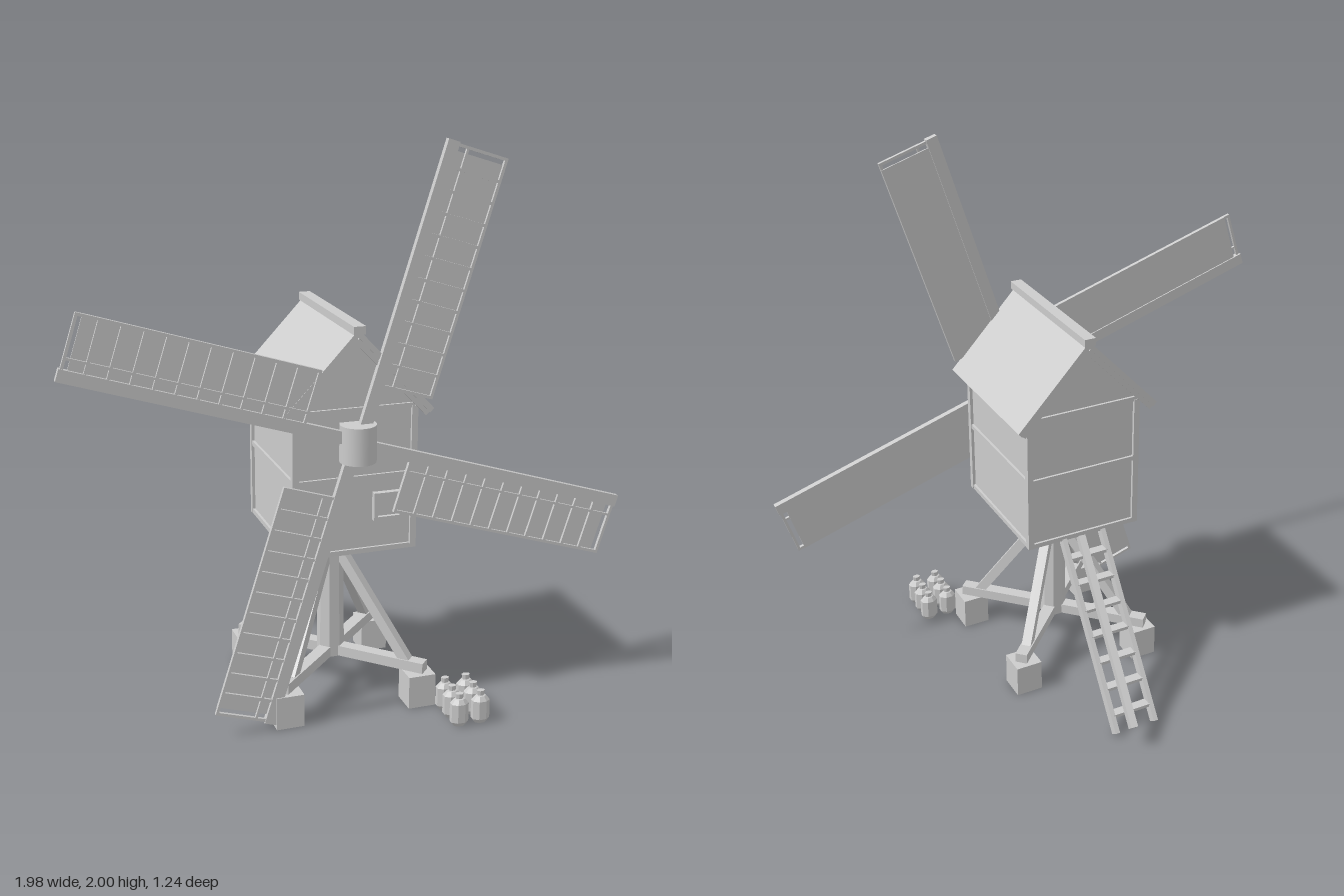
import * as THREE from 'three';

const paint = new THREE.MeshStandardMaterial({ color: 0xcccccc });
paint.name = 'plain grey';
const CZ = 0.14; // centre line of the trestle and cabin

function add(parent, name, geometry, x = 0, y = 0, z = 0) {
  const mesh = new THREE.Mesh(geometry, paint);
  mesh.name = name;
  mesh.position.set(x, y, z);
  parent.add(mesh);
  return mesh;
}

const box = (parent, name, w, h, d, x, y, z) =>
  add(parent, name, new THREE.BoxGeometry(w, h, d), x, y, z);

// Square timber running between two points
function beam(parent, name, a, b, w, h = w) {
  const p = new THREE.Vector3(...a), q = new THREE.Vector3(...b);
  const mesh = add(parent, name, new THREE.BoxGeometry(w, h, p.distanceTo(q)));
  mesh.position.copy(p).add(q).multiplyScalar(0.5);
  mesh.lookAt(q);
  return mesh;
}

function group(parent, name) {
  const g = new THREE.Group();
  g.name = name;
  parent.add(g);
  return g;
}

function faceted(geometry) {
  const g = geometry.toNonIndexed();
  g.computeVertexNormals();
  return g;
}

// Footing blocks, crossed beams, braces and central post
function buildTrestle(root) {
  const g = group(root, 'trestle');
  for (const sx of [-1, 1]) {
    for (const sz of [-1, 1]) {
      box(g, 'footing', 0.1, 0.12, 0.1, sx * 0.245, 0.06, CZ + sz * 0.245);
      beam(g, 'brace', [sx * 0.215, 0.15, CZ + sz * 0.215], [sx * 0.025, 0.53, CZ + sz * 0.025], 0.036);
    }
    beam(g, 'crossBeam', [-0.265, 0.14, CZ - sx * 0.265], [0.265, 0.14, CZ + sx * 0.265], 0.045, 0.038);
  }
  const post = new THREE.CylinderGeometry(0.046, 0.05, 0.49, 8);
  post.rotateY(Math.PI / 8);
  add(g, 'post', faceted(post), 0, 0.365, CZ);
}

// Gabled cabin with its timber framing
function buildCabin(root) {
  const g = group(root, 'cabin');
  const hw = 0.212, z0 = -0.108, z1 = 0.388;
  const outline = new THREE.Shape([
    [-hw, 0.605], [hw, 0.605], [hw, 1.115], [0, 1.365], [-hw, 1.115],
  ].map(([x, y]) => new THREE.Vector2(x, y)));
  add(g, 'walls', new THREE.ExtrudeGeometry(outline, { depth: z1 - z0, bevelEnabled: false }), 0, 0, z0);

  const t = 0.022, mid = (z0 + z1) / 2;
  for (const s of [-1, 1]) {
    for (const z of [z0, z1]) {
      box(g, 'cornerPost', t, 0.51, t, s * hw, 0.858, z);
    }
    for (const y of [0.611, 0.874, 1.105]) {
      box(g, 'sideRail', t * 0.8, t * 0.8, z1 - z0, s * hw, y, mid);
    }
  }
  for (const z of [z0, z1]) {
    for (const y of [0.611, 0.874, 1.115]) {
      box(g, 'endRail', hw * 2, t * 0.8, t * 0.8, 0, y, z);
    }
  }

  // Small framed window on the front
  const wx = 0.117, wy = 0.768, wz = z1 + 0.004;
  box(g, 'windowPane', 0.1, 0.09, 0.008, wx, wy, wz);
  for (const s of [-1, 1]) {
    box(g, 'windowSide', 0.013, 0.1, 0.025, wx + s * 0.046, wy, wz + 0.005);
    box(g, 'windowSill', 0.105, 0.013, 0.025, wx, wy + s * 0.043, wz + 0.005);
  }
}

// Pitched roof slabs, bargeboards and ridge cap
function buildRoof(root) {
  const g = group(root, 'roof');
  const z0 = -0.155, z1 = 0.42;
  const slab = (inner, drop, a, b) => {
    const s = new THREE.Shape([
      [0, 1.395], [0.272, 1.105], [0.258, 1.09], [0, 1.395 - drop],
      [-0.258, 1.09], [-0.272, 1.105],
    ].map(([x, y]) => new THREE.Vector2(x * inner, y)));
    return new THREE.ExtrudeGeometry(s, { depth: b - a, bevelEnabled: false });
  };
  add(g, 'roofSlabs', slab(1, 0.027, z0, z1), 0, 0, z0);
  for (const z of [z0 + 0.004, z1 - 0.016]) {
    for (const s of [-1, 1]) {
      beam(g, 'bargeboard', [0, 1.36, z + 0.006], [s * 0.255, 1.09, z + 0.006], 0.012, 0.028);
    }
  }
  box(g, 'ridgeCap', 0.042, 0.028, 0.59, 0, 1.394, 0.135);
}

// Four lattice sails around an upright drum hub
function buildSails(root) {
  const g = group(root, 'sails');
  g.position.set(0, 1.01, 0.42);
  add(g, 'hub', new THREE.CylinderGeometry(0.063, 0.063, 0.13, 24));
  for (let k = 0; k < 4; k++) {
    const sail = group(g, 'sail');
    sail.rotation.z = -THREE.MathUtils.degToRad(17.5) - k * Math.PI / 2;
    box(sail, 'spar', 0.042, 1.035, 0.022, 0.006, 0.5175, 0);
    const start = 0.2, end = 1.03, bays = 11;
    box(sail, 'cloth', 0.19, end - start - 0.025, 0.005, 0.115, (start + end) / 2 - 0.0125, -0.004);
    box(sail, 'outerRail', 0.01, end - start, 0.012, 0.205, (start + end) / 2, 0.002);
    box(sail, 'innerRail', 0.008, end - start, 0.01, 0.062, (start + end) / 2, 0.003);
    for (let i = 0; i <= bays; i++) {
      box(sail, 'slat', 0.2, 0.01, 0.012, 0.11, start + 0.005 + (end - start - 0.01) * i / bays, 0.002);
    }
  }
}

// Rear ladder and the tail pole used to turn the cabin
function buildRear(root) {
  const g = group(root, 'ladder');
  const top = [0.6, -0.105], foot = [0.01, -0.525];
  for (const x of [-0.08, 0.078]) {
    beam(g, 'ladderRail', [x, ...top], [x, ...foot], 0.018, 0.032);
  }
  for (let i = 0; i < 7; i++) {
    const t = 0.1 + i * 0.134;
    const y = THREE.MathUtils.lerp(top[0], foot[0], t);
    const z = THREE.MathUtils.lerp(top[1], foot[1], t);
    box(g, 'rung', 0.15, 0.012, 0.035, 0, y, z);
  }
  beam(root, 'tailPole', [0.01, 0.6, -0.115], [0.055, 0.088, -0.608], 0.026, 0.032);
}

// Six sacks standing in two rows by the front
function buildSacks(root) {
  const profile = [
    [0, 0], [0.022, 0], [0.034, 0.016], [0.034, 0.084], [0.02, 0.1], [0.013, 0.102], [0.015, 0.12], [0, 0.12],
  ].map(([r, y]) => new THREE.Vector2(r, y));
  const lathe = new THREE.LatheGeometry(profile, 8);
  lathe.rotateY(Math.PI / 8);
  lathe.scale(1, 1, 0.74);
  const sack = faceted(lathe);
  const g = group(root, 'sacks');
  for (const x of [0.318, 0.398]) {
    for (const z of [0.466, 0.53, 0.594]) add(g, 'sack', sack, x, 0, z);
  }
}

export function createModel() {
  const root = new THREE.Group();
  root.name = 'postMill';
  buildTrestle(root);
  buildCabin(root);
  buildRoof(root);
  buildSails(root);
  buildRear(root);
  buildSacks(root);
  return root;
}
